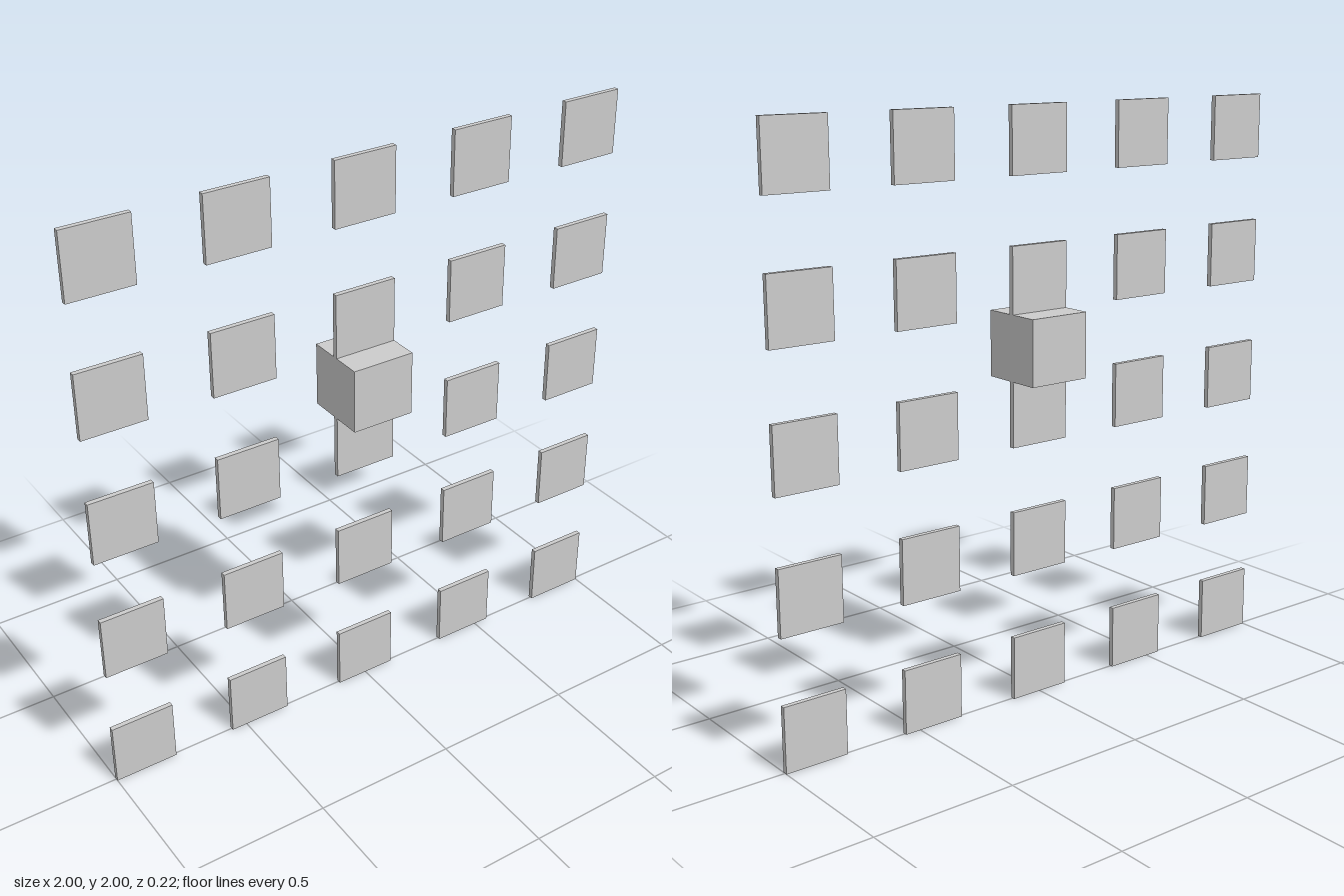
import * as THREE from 'three';

export function createModel() {
  const group = new THREE.Group();
  const material = new THREE.MeshStandardMaterial({ color: 0xcccccc });
  const count = 5;
  const size = 2 / 9; // tile width, equal to the gap between tiles
  const pitch = size * 2;

  // Upright grid of thin square tiles
  const tiles = new THREE.Group();
  tiles.name = 'tileGrid';
  const tileGeometry = new THREE.BoxGeometry(size, size, size * 0.08);
  for (let row = 0; row < count; row++) {
    for (let col = 0; col < count; col++) {
      const tile = new THREE.Mesh(tileGeometry, material);
      tile.name = `tileRow${row + 1}Column${col + 1}`;
      tile.position.set((col - (count - 1) / 2) * pitch, size / 2 + row * pitch, 0);
      tiles.add(tile);
    }
  }
  group.add(tiles);

  // Cube filling the gap between two tiles of the middle column
  const cube = new THREE.Mesh(new THREE.BoxGeometry(size, size, size), material);
  cube.name = 'cube';
  cube.position.y = size * 5.5;
  group.add(cube);

  return group;
}
